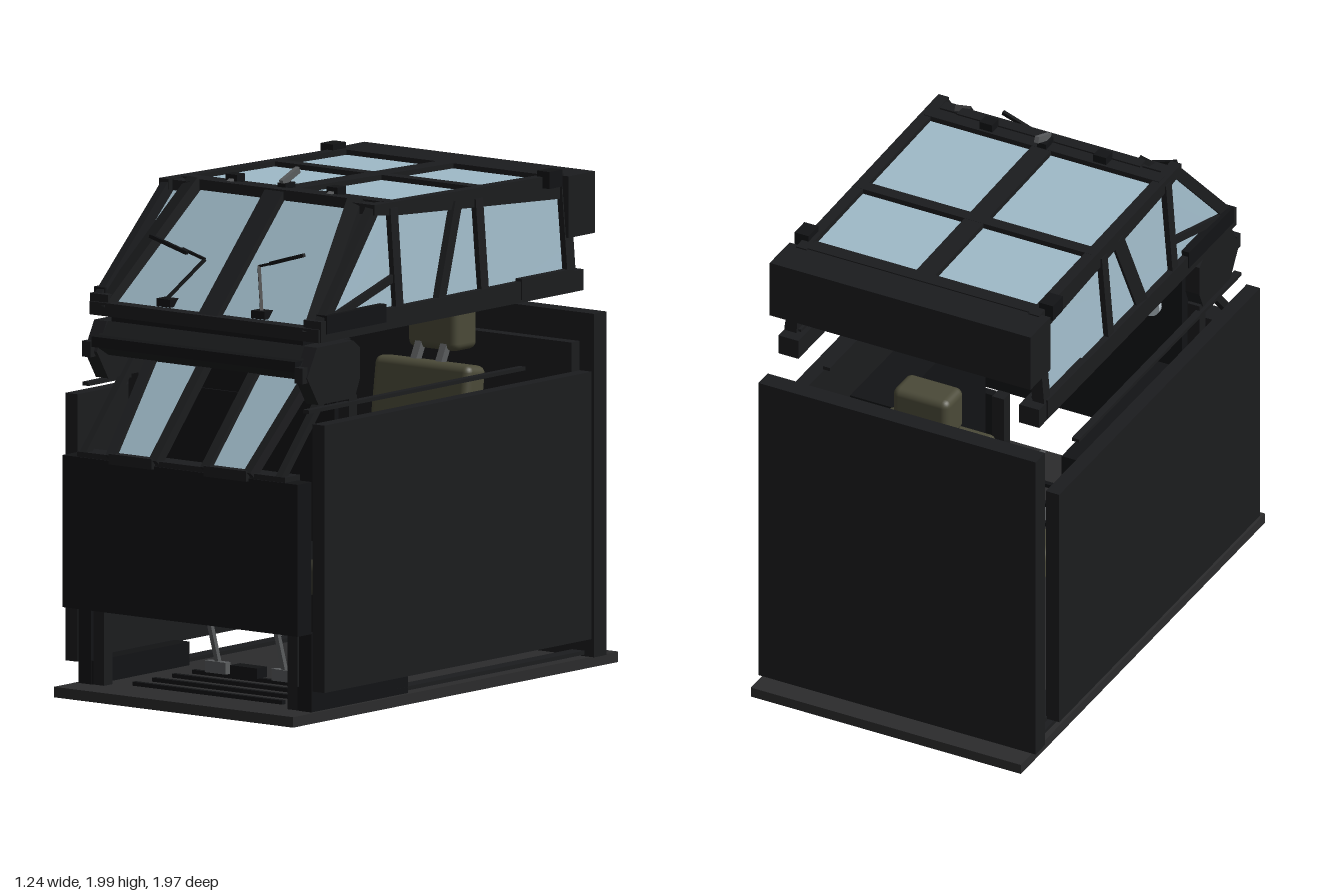
import * as THREE from 'three';
import { RoundedBoxGeometry } from 'three/addons/geometries/RoundedBoxGeometry.js';

const paint = (color) => new THREE.MeshStandardMaterial({ color, side: THREE.DoubleSide });
const dark = paint(0x1b1c1e), black = paint(0x121315), floorGrey = paint(0x2b2b2c);
const glass = paint(0x9fbac8), olive = paint(0x4b4a38), metal = paint(0x5a5c5e);
const green = paint(0x1f8a3a), red = paint(0x9a2a20), white = paint(0xb8c4cc);

export function createModel() {
  const model = new THREE.Group();

  const add = (name, geometry, material = dark) => {
    const mesh = new THREE.Mesh(geometry, material);
    mesh.name = name;
    model.add(mesh);
    return mesh;
  };
  // Box given by its low and high corners
  const box = (name, x0, x1, y0, y1, z0, z1, material) => {
    const g = new THREE.BoxGeometry(Math.abs(x1 - x0), y1 - y0, z1 - z0);
    g.translate((x0 + x1) / 2, (y0 + y1) / 2, (z0 + z1) / 2);
    return add(name, g, material);
  };
  // Square bar between two points
  const bar = (name, a, b, w = 0.04, d = w, material = dark) => {
    const p = new THREE.Vector3(...a), q = new THREE.Vector3(...b);
    const mesh = add(name, new THREE.BoxGeometry(w, d, p.distanceTo(q)), material);
    mesh.position.copy(p).lerp(q, 0.5);
    mesh.lookAt(q);
    return mesh;
  };
  // Flat pane from corners in order
  const pane = (name, corners, material = glass) => {
    const g = new THREE.BufferGeometry();
    g.setAttribute('position', new THREE.Float32BufferAttribute(corners.flat(), 3));
    g.setIndex(corners.length === 3 ? [0, 1, 2] : [0, 1, 2, 0, 2, 3]);
    g.computeVertexNormals();
    return add(name, g, material);
  };
  // Side outline of (z, y) points, extruded across x
  const slab = (name, outline, x, width, material) => {
    const shape = new THREE.Shape(outline.map(([z, y]) => new THREE.Vector2(z, y)));
    const g = new THREE.ExtrudeGeometry(shape, { depth: width, bevelEnabled: false });
    g.rotateY(-Math.PI / 2).translate(x + width / 2, 0, 0);
    return add(name, g, material);
  };
  const roofY = (z) => 1.905 + (z - 0.33) * 0.025;

  // Floor and armour panels
  box('floor', -0.575, 0.575, 0.01, 0.05, -0.985, 0.985, floorGrey);
  box('rearPanel', -0.59, 0.59, 0.05, 1.36, -0.895, -0.82);
  box('rearInnerPanel', -0.52, 0.52, 0.3, 1.25, -0.82, -0.77);
  box('frontPanel', -0.565, 0.565, 0.35, 0.93, 0.86, 0.945, black);
  box('frontPanelLip', -0.5, 0.5, 0.92, 0.95, 0.85, 0.94);

  // Windscreen and roof centre members
  bar('windscreenCentre', [0, 1.47, 0.78], [0, 1.91, 0.36], 0.09, 0.04);
  bar('windscreenHeader', [-0.39, 1.91, 0.35], [0.39, 1.91, 0.35], 0.05, 0.04);
  bar('roofCentre', [0, roofY(0.33), 0.33], [0, roofY(-0.7), -0.7], 0.08, 0.04);
  for (const [z, w] of [[0.3, 0.06], [-0.25, 0.05], [-0.69, 0.06]]) {
    bar('roofCrossbar', [-0.5, roofY(z), z], [0.5, roofY(z), z], w, 0.04);
  }
  box('frontSill', -0.55, 0.55, 1.45, 1.5, 0.7, 0.8);
  box('rearSillTie', -0.5, 0.5, 1.45, 1.5, -0.3, -0.25);
  box('rearStowageBox', -0.555, 0.555, 1.66, 1.895, -0.87, -0.71);

  // Instrument hood below the windscreen
  slab('instrumentHood', [[0.85, 1.34], [0.78, 1.43], [0.53, 1.43], [0.53, 1.34], [0.6, 1.3], [0.78, 1.3]], 0, 0.98);
  box('hoodVisor', -0.49, 0.49, 1.34, 1.38, 0.8, 0.865, black);
  box('hoodNeck', -0.46, 0.46, 1.42, 1.46, 0.6, 0.78, black);

  for (const s of [-1, 1]) {
    // Lower hull, one side
    box('sidePanel', s * 0.565, s * 0.622, 0.13, 1.15, -0.765, 0.855);
    box('sidePlinth', s * 0.49, s * 0.56, 0.05, 0.35, 0.27, 0.85, black).scale.y = 0.3;
    model.children.at(-1).position.y = 0.035;
    box('frontLeg', s * 0.44, s * 0.49, 0.05, 0.36, 0.8, 0.85);
    box('frontCornerPost', s * 0.5, s * 0.56, 0.05, 0.35, 0.82, 0.855, black);
    box('floorRail', s * 0.5, s * 0.56, 0.06, 0.075, -0.8, 0.85);
    box('rearBracket', s * 0.48, s * 0.57, 0.12, 0.3, -0.83, -0.6).scale.y = 0.1;
    model.children.at(-1).position.y = 0.112;
    bar('handRail', [s * 0.53, 1.193, -0.46], [s * 0.53, 1.193, 0.85], 0.03, 0.014);

    // Sloping lower windows
    const at = (x, y, lift = 0) => [s * x, y + lift, 0.95 - (y - 0.93) * 0.9 + lift];
    pane('lowerWindow', [at(0.14, 0.95), at(0.31, 0.95), at(0.35, 1.27), at(0.14, 1.27)]);
    const rim = [at(0.125, 0.94), at(0.33, 0.94), at(0.375, 1.29), at(0.125, 1.29)];
    rim.forEach((p, i) => bar('lowerWindowFrame', p, rim[(i + 1) % 4], 0.04, 0.04));
    bar('lowerBrace', [s * 0.47, 0.94, 0.93], [s * 0.47, 1.3, 0.61], 0.03);

    // Equipment pod beside the hood
    slab('hoodPod', [[0.85, 1.32], [0.79, 1.43], [0.57, 1.43], [0.53, 1.4], [0.53, 1.28], [0.56, 1.21], [0.78, 1.21]], s * 0.505, 0.06);
    box('podHandle', s * 0.49, s * 0.53, 1.3, 1.36, 0.84, 0.87);
    box('podPost', s * 0.48, s * 0.53, 0.9, 1.22, 0.54, 0.59);

    // Canopy sill, rail and pillars
    box('sill', s * 0.47, s * 0.555, 1.45, 1.53, -0.8, 0.79);
    box('sillEnd', s * 0.49, s * 0.56, 1.46, 1.54, -0.74, -0.42);
    slab('roofRail', [[0.42, 1.925], [0.42, 1.885], [0.3, 1.87], [-0.73, 1.805], [-0.73, 1.9]], s * 0.495, 0.045);
    bar('windscreenPillar', [s * 0.5, 1.47, 0.78], [s * 0.385, 1.92, 0.36], 0.06, 0.05);
    bar('sideFrontPillar', [s * 0.53, 1.5, 0.77], [s * 0.49, 1.9, 0.4], 0.035, 0.045);
    bar('quarterBrace', [s * 0.53, 1.53, 0.7], [s * 0.52, 1.64, 0.31], 0.03);
    bar('frontDoorPillar', [s * 0.53, 1.5, 0.307], [s * 0.5, 1.9, 0.307], 0.045);
    bar('slantedPillar', [s * 0.53, 1.5, 0.06], [s * 0.5, 1.87, -0.085], 0.04, 0.06);
    bar('rearDoorPillar', [s * 0.53, 1.5, -0.21], [s * 0.5, 1.87, -0.21], 0.045);
    bar('rearPillar', [s * 0.53, 1.5, -0.73], [s * 0.5, 1.86, -0.73], 0.05);
    bar('roofCorner', [s * 0.38, 1.9, 0.37], [s * 0.5, 1.9, 0.37], 0.05, 0.04);
    box('cornerLamp', s * 0.49, s * 0.55, 1.86, 1.925, -0.68, -0.6, black);
    box('sillStep', s * 0.51, s * 0.56, 1.48, 1.55, 0.4, 0.76, black);

    // Canopy glazing
    pane('windscreen', [[s * 0.04, 1.47, 0.77], [s * 0.48, 1.47, 0.77], [s * 0.37, 1.9, 0.36], [s * 0.04, 1.9, 0.36]]);
    pane('quarterWindow', [[s * 0.53, 1.52, 0.74], [s * 0.53, 1.52, 0.3], [s * 0.5, 1.89, 0.3], [s * 0.495, 1.89, 0.41]]);
    pane('sideWindow', [[s * 0.53, 1.52, 0.3], [s * 0.53, 1.52, -0.73], [s * 0.502, 1.83, -0.73], [s * 0.5, 1.88, 0.3]]);
    for (const [z0, z1] of [[0.28, -0.24], [-0.26, -0.67]]) {
      pane('roofWindow', [[s * 0.03, roofY(z0), z0], [s * 0.48, roofY(z0), z0], [s * 0.48, roofY(z1), z1], [s * 0.03, roofY(z1), z1]]);
    }

    // Wiper, roof lamp and pedal
    box('wiperMotor', s * 0.195, s * 0.26, 1.505, 1.535, 0.7, 0.76, black);
    bar('wiperArm', [s * 0.23, 1.53, 0.74], [s * 0.13, 1.68, 0.63], 0.012, 0.012, black);
    bar('wiperLink', [s * 0.13, 1.68, 0.63], [s * 0.24, 1.71, 0.63], 0.01, 0.01, black);
    bar('wiperBlade', [s * 0.2, 1.7, 0.65], [s * 0.37, 1.75, 0.66], 0.014, 0.014, black);
    box('roofLamp', s * 0.215, s * 0.27, 1.92, 1.955, 0.28, 0.33, black);
    bar('lampStem', [s * 0.24, 1.92, 0.34], [s * 0.24, 1.94, 0.3], 0.025, 0.025, metal);
    box('pedal', s * 0.11, s * 0.21, 0.085, 0.13, 0.5, 0.53, metal);
    bar('pedalArm', [s * 0.16, 0.12, 0.51], [s * 0.16, 0.34, 0.58], 0.018, 0.018, metal);

    // Side consoles in the cabin
    box('sideConsole', s * 0.36, s * 0.54, 0.3, 0.95, -0.25, 0.5, black);
    box('consoleScreen', s * 0.09, s * 0.25, 1.08, 1.23, 0.51, 0.525, s < 0 ? green : black);
  }

  // Instrument console facing the seat
  box('instrumentPanel', -0.46, 0.46, 0.65, 1.18, 0.53, 0.59, black);
  box('upperInstrumentPanel', -0.46, 0.46, 1.18, 1.35, 0.53, 0.58, black);
  const dial = add('dial', new THREE.CylinderGeometry(0.045, 0.045, 0.02, 20), white);
  dial.rotation.x = Math.PI / 2;
  dial.position.set(-0.33, 1.18, 0.52);
  box('centrePedal', -0.065, 0.065, 0.09, 0.13, 0.5, 0.56, black);
  for (let i = 0; i < 4; i++) box('footRail', -0.36, 0.36, 0.05, 0.065, 0.4 + i * 0.12, 0.42 + i * 0.12, black);

  // Seat with headrest
  const cushion = (name, w, h, d, x, y, z, tilt = 0) => {
    const mesh = add(name, new RoundedBoxGeometry(w, h, d, 3, 0.03), olive);
    mesh.position.set(x, y, z);
    mesh.rotation.x = tilt;
  };
  cushion('seatCushion', 0.5, 0.12, 0.5, 0, 0.36, -0.25, -0.08);
  cushion('seatBack', 0.46, 0.78, 0.12, 0, 0.77, -0.52, -0.14);
  cushion('headrest', 0.24, 0.18, 0.14, 0, 1.285, -0.645);
  for (const x of [-0.06, 0.06]) bar('headrestStem', [x, 1.1, -0.53], [x, 1.22, -0.59], 0.03, 0.03, metal);
  box('seatBase', -0.2, 0.2, 0.05, 0.3, -0.45, -0.1, black);

  // Aerial and extinguisher
  bar('roofAerial', [0, 1.945, 0.33], [0, 1.985, 0.23], 0.018, 0.025, metal);
  box('aerialFoot', -0.02, 0.02, 1.91, 1.945, 0.27, 0.33, black);
  const bottle = add('extinguisher', new THREE.CylinderGeometry(0.05, 0.05, 0.28, 20), red);
  bottle.position.set(0.5, 0.75, -0.71);

  return model;
}
